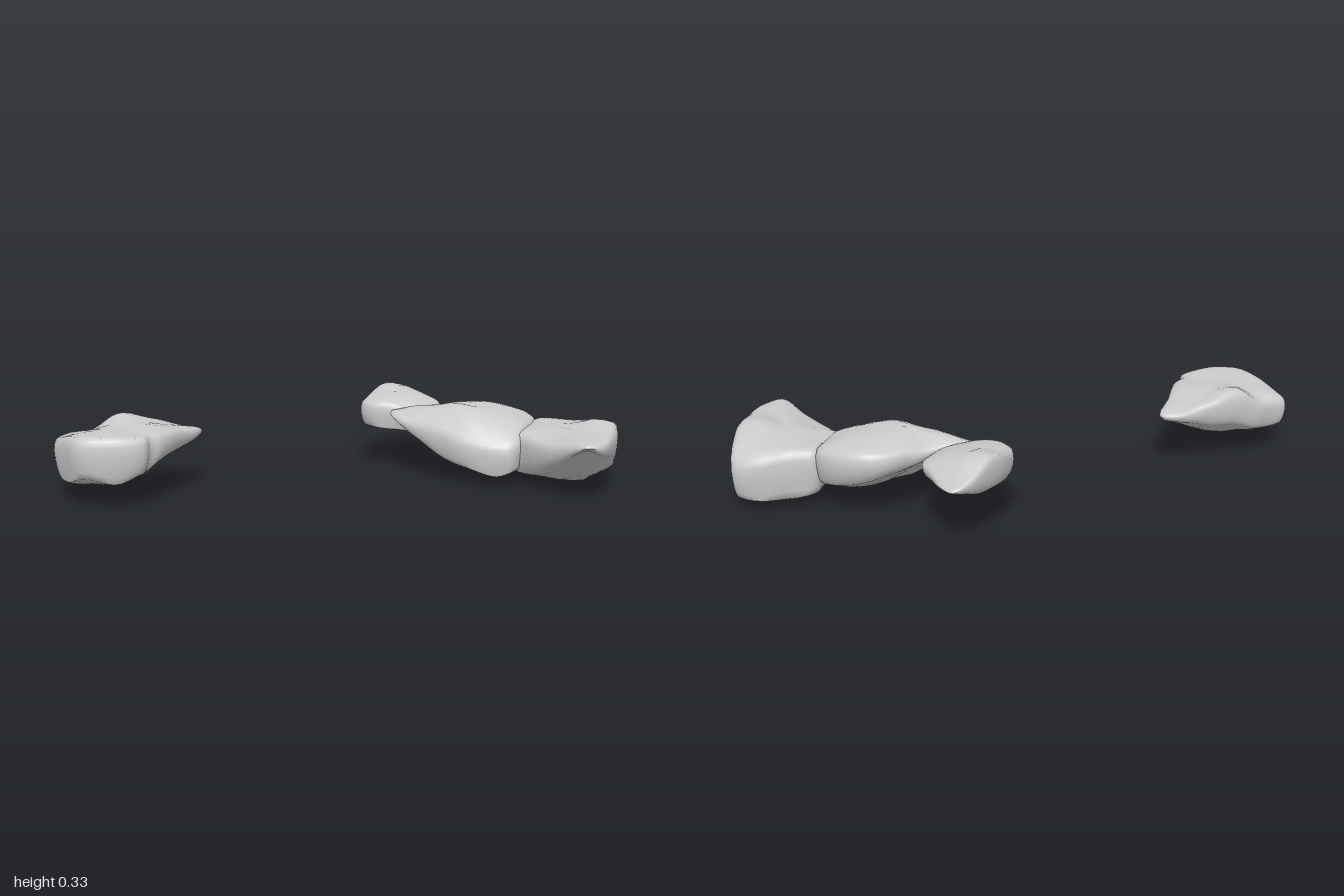
import * as THREE from 'three';
import { toCreasedNormals } from 'three/addons/utils/BufferGeometryUtils.js';

const SEG = 64;
// Rings from the crown, over the rim and down to the underside: [radial scale, height mix, side]
const RINGS = [
  [0.2, 0.04, 1], [0.42, 0.2, 1], [0.62, 0.43, 1], [0.78, 0.68, 1], [0.9, 0.9, 1],
  [0.965, 0.94, 0], [0.992, 0.8, 0], [1, 0.6, 0], [0.985, 0.38, 0], [0.955, 0.17, 0], [0.91, 0.02, 0],
  [0.8, 0.85, -1], [0.65, 0.6, -1], [0.45, 0.3, -1], [0.22, 0.08, -1],
];

// Gentle lumps that break up the faces
const lumps = (x, y, z) =>
  Math.sin(x * 17 + z * 9 + y * 6) * Math.sin(z * 19 - x * 7 + 1) * 0.6 +
  Math.sin(x * 31 - z * 23 + y * 25) * 0.4;

// rim: [x, z, upper y, lower y] round the stone; crown and base: [x, y, z]
// knobs: [x, z, height, radius] raised or sunk on the upper face
function rock(name, rim, crown, base, knobs) {
  const path = (h) => new THREE.CatmullRomCurve3(
    rim.map((p) => new THREE.Vector3(p[0], p[h], p[1])), true, 'centripetal');
  const upper = path(2), lower = path(3);
  const pos = [...crown], idx = [];
  for (const [s, m, side] of RINGS) {
    for (let i = 0; i < SEG; i++) {
      const a = upper.getPoint(i / SEG), b = lower.getPoint(i / SEG);
      // the centre slides from the crown to the base down the side
      const k = side > 0 ? 0 : side < 0 ? 1 : 1 - m;
      const cx = crown[0] + (base[0] - crown[0]) * k;
      const cz = crown[2] + (base[2] - crown[2]) * k;
      const x = cx + (a.x - cx) * s, z = cz + (a.z - cz) * s;
      let y;
      if (side > 0) y = crown[1] + (a.y - crown[1]) * m;
      else if (side < 0) y = base[1] + (b.y - base[1]) * m;
      else y = b.y + (a.y - b.y) * m;
      const lift = side > 0 ? 1 : side < 0 ? 0 : m * m;
      for (const [kx, kz, h, r] of knobs) {
        y += lift * h * Math.exp(-((x - kx) ** 2 + (z - kz) ** 2) / (r * r));
      }
      const n = lumps(x, y, z);
      pos.push(x + (a.x - cx) * n * 0.012, y + n * 0.005, z + (a.z - cz) * n * 0.012);
    }
  }
  pos.push(...base);
  const last = pos.length / 3 - 1;
  for (let i = 0; i < SEG; i++) {
    const j = (i + 1) % SEG;
    idx.push(0, 1 + i, 1 + j);
    for (let r = 0; r < RINGS.length - 1; r++) {
      const a = 1 + r * SEG + i, b = 1 + r * SEG + j;
      idx.push(a, a + SEG, b, b, a + SEG, b + SEG);
    }
    const o = 1 + (RINGS.length - 1) * SEG;
    idx.push(o + i, last, o + j);
  }
  const g = new THREE.BufferGeometry();
  g.setAttribute('position', new THREE.Float32BufferAttribute(pos, 3));
  g.setIndex(idx);
  const mesh = new THREE.Mesh(
    toCreasedNormals(g, 0.9),
    new THREE.MeshStandardMaterial({ color: 0xcccccc })
  );
  mesh.name = name;
  return mesh;
}

export function createModel() {
  const group = new THREE.Group();
  group.name = 'rocks';

  // Rims run counter-clockwise seen from above: front, +x side, back, -x side
  group.add(rock('loneRock', [
    [-0.73, 0.8, 0.285, 0.12], [-0.6, 0.73, 0.285, 0.1], [-0.535, 0.64, 0.275, 0.13],
    [-0.55, 0.59, 0.275, 0.13], [-0.53, 0.54, 0.275, 0.16], [-0.545, 0.38, 0.265, 0.18],
    [-0.56, 0.23, 0.245, 0.2], [-0.62, 0.23, 0.245, 0.2], [-0.72, 0.29, 0.27, 0.18],
    [-0.84, 0.4, 0.28, 0.16], [-0.91, 0.47, 0.255, 0.13], [-0.95, 0.54, 0.24, 0.12],
    [-1, 0.61, 0.235, 0.12], [-0.94, 0.7, 0.25, 0.1], [-0.84, 0.76, 0.27, 0.09],
  ], [-0.74, 0.288, 0.55], [-0.79, 0.07, 0.62], [[-0.81, 0.42, 0.036, 0.08], [-0.86, 0.57, -0.012, 0.07]]));

  group.add(rock('smallRock', [
    [-0.09, -0.365, 0.285, 0.18], [0.0, -0.39, 0.285, 0.17], [0.09, -0.41, 0.255, 0.17],
    [0.13, -0.52, 0.26, 0.2], [0.125, -0.61, 0.27, 0.21], [0.05, -0.7, 0.27, 0.22],
    [-0.04, -0.79, 0.26, 0.235], [-0.085, -0.81, 0.26, 0.235], [-0.13, -0.76, 0.28, 0.22],
    [-0.165, -0.65, 0.31, 0.2], [-0.18, -0.51, 0.29, 0.19], [-0.16, -0.4, 0.28, 0.18],
  ], [-0.06, 0.312, -0.55], [-0.01, 0.158, -0.49], [[-0.13, -0.6, 0.022, 0.09]]));

  group.add(rock('middleRock', [
    [0.18, -0.275, 0.235, 0.15], [0.3, -0.255, 0.22, 0.1], [0.42, -0.24, 0.2, 0.075],
    [0.54, -0.265, 0.19, 0.055], [0.6, -0.3, 0.2, 0.07], [0.6, -0.45, 0.24, 0.08],
    [0.57, -0.61, 0.25, 0.1], [0.48, -0.67, 0.265, 0.12], [0.36, -0.685, 0.28, 0.15],
    [0.28, -0.66, 0.28, 0.17], [0.19, -0.56, 0.27, 0.19], [0.11, -0.47, 0.265, 0.22],
    [0.0, -0.38, 0.265, 0.24], [0.06, -0.31, 0.25, 0.21],
  ], [0.33, 0.308, -0.43], [0.48, 0.04, -0.39], [[0.32, -0.38, 0.01, 0.1]]));

  group.add(rock('endRock', [
    [0.61, -0.345, 0.215, 0.055], [0.68, -0.3, 0.215, 0.07], [0.8, -0.235, 0.225, 0.13],
    [0.95, -0.175, 0.25, 0.22], [0.995, -0.23, 0.255, 0.19], [0.985, -0.4, 0.255, 0.15],
    [0.945, -0.57, 0.25, 0.1], [0.89, -0.7, 0.225, 0.05], [0.84, -0.75, 0.2, 0.05],
    [0.73, -0.725, 0.22, 0.04], [0.65, -0.67, 0.24, 0.045], [0.555, -0.62, 0.24, 0.055],
    [0.565, -0.5, 0.235, 0.055], [0.56, -0.37, 0.215, 0.055],
  ], [0.78, 0.252, -0.46], [0.77, 0.008, -0.6], [[0.89, -0.51, 0.028, 0.1], [0.82, -0.64, 0.018, 0.1]]));

  return group;
}
